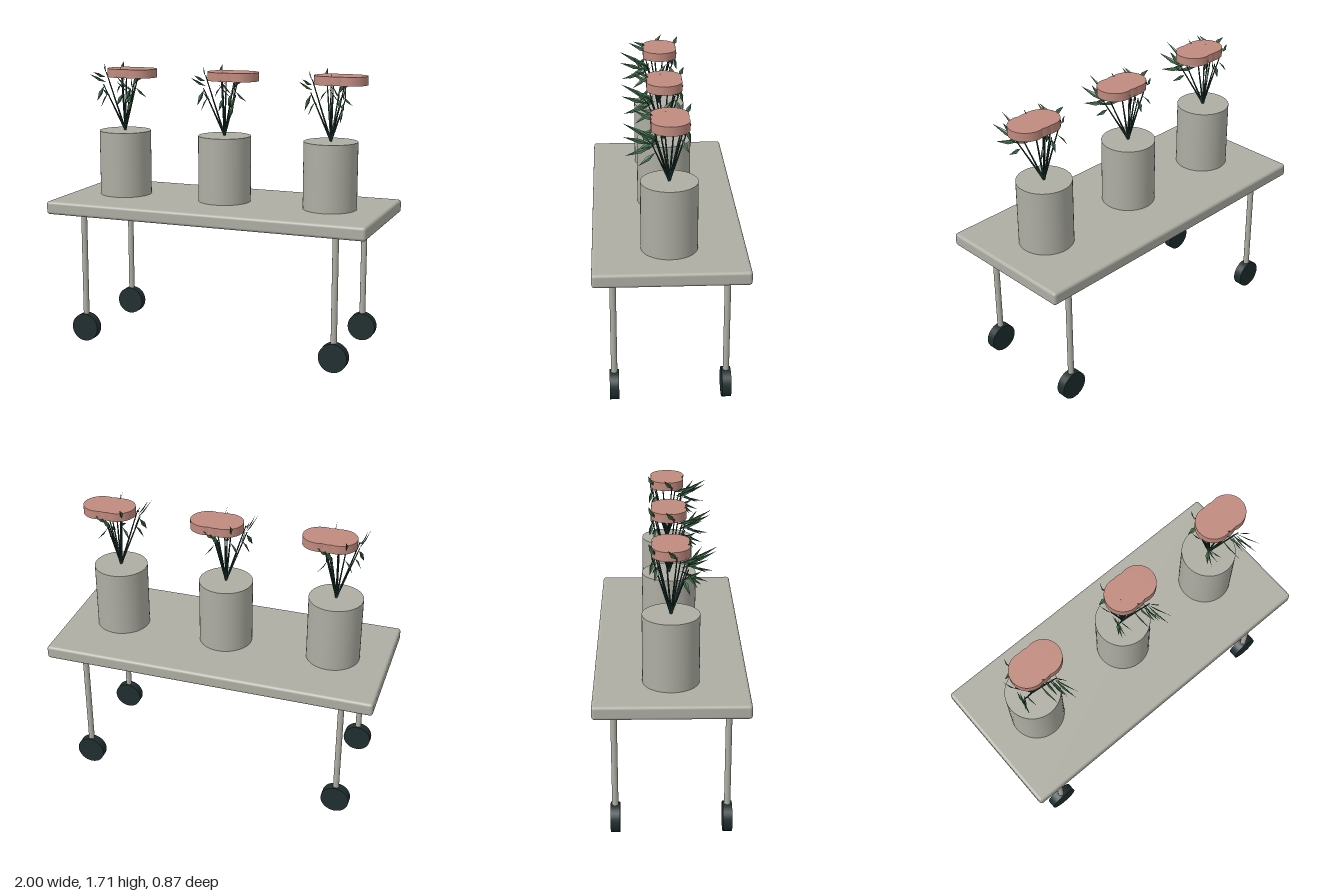
import * as THREE from 'three';
import { RoundedBoxGeometry } from 'three/addons/geometries/RoundedBoxGeometry.js';

const mat = (name, color, extra = {}) => {
  const m = new THREE.MeshStandardMaterial({ color, ...extra });
  m.name = name;
  return m;
};

// Pointed blade between two points, slightly folded along its midrib
function bladeGeometry(a, b, width, side) {
  const dir = b.clone().sub(a);
  const across = dir.clone().cross(side).normalize().multiplyScalar(width / 2);
  const fold = dir.clone().cross(across).normalize().multiplyScalar(width * 0.2);
  const mid = a.clone().lerp(b, 0.45);
  const l = mid.clone().add(across).add(fold);
  const r = mid.clone().sub(across).add(fold);
  const g = new THREE.BufferGeometry().setFromPoints([a, mid, l, l, mid, b, a, r, mid, mid, r, b]);
  g.computeVertexNormals();
  return g;
}

export function createModel() {
  const stone = mat('warm grey', 0xaeaea4);
  const rubber = mat('dark rubber', 0x1f2e2f);
  const stemGreen = mat('dark stem green', 0x1d3a33);
  const leafGreen = mat('leaf green', 0x3f6e4c, { side: THREE.DoubleSide });
  const pink = mat('dusty pink', 0xc08a7e);

  const model = new THREE.Group();
  const add = (parent, name, geo, material, x = 0, y = 0, z = 0) => {
    const mesh = new THREE.Mesh(geo, material);
    mesh.name = name;
    mesh.position.set(x, y, z);
    parent.add(mesh);
    return mesh;
  };

  // Table top
  add(model, 'tableTop', new RoundedBoxGeometry(2, 0.08, 0.865, 4, 0.018), stone, 0, 0.85, 0);

  // Legs on disc wheels
  const legGeo = new THREE.CylinderGeometry(0.018, 0.018, 0.72, 20);
  const wheelGeo = new THREE.CylinderGeometry(0.086, 0.086, 0.053, 32).rotateX(Math.PI / 2);
  for (const x of [-0.8, 0.8]) for (const z of [-0.32, 0.32]) {
    add(model, 'leg', legGeo, stone, x, 0.46, z);
    add(model, 'wheel', wheelGeo, rubber, x, 0.087, z);
  }

  // Plant layout, measured from the centre of the pot's rim
  const stemTips = [
    [-0.11, 0.36, 0.03], [-0.1, 0.29, 0.09], [-0.06, 0.38, -0.09], [0, 0.37, -0.03],
    [0.01, 0.35, 0.06], [0.08, 0.27, 0.08], [0.11, 0.26, 0.1], [0.06, 0.35, -0.08], [0.02, 0.31, -0.1],
  ];
  // Each leaf: base then tip
  const leaves = [
    [-0.11, 0.35, 0.03, -0.145, 0.41, -0.02], [-0.11, 0.33, 0.04, -0.13, 0.37, 0.16],
    [-0.1, 0.3, 0.05, -0.14, 0.36, 0.19], [-0.08, 0.24, 0.06, -0.115, 0.15, 0.1],
    [-0.1, 0.28, 0.08, -0.12, 0.19, 0.14], [-0.07, 0.22, 0.06, -0.07, 0.27, 0.16],
    [-0.07, 0.34, -0.06, -0.1, 0.39, 0.02], [-0.06, 0.36, -0.09, -0.06, 0.42, -0.12],
    [-0.05, 0.29, -0.07, -0.1, 0.22, -0.09], [0, 0.3, -0.02, -0.03, 0.39, 0.02],
    [0.01, 0.3, 0.05, 0.03, 0.41, 0.11], [0.02, 0.24, 0.05, 0.04, 0.17, 0.2],
    [0.06, 0.24, 0.06, 0.04, 0.33, 0.2], [0.07, 0.26, 0.07, 0.07, 0.36, 0.25],
    [0.08, 0.27, 0.08, 0.1, 0.2, 0.2], [0.1, 0.25, 0.09, 0.14, 0.31, 0.25],
    [0.1, 0.24, 0.09, 0.13, 0.2, 0.24], [0.09, 0.2, 0.08, 0.1, 0.13, 0.17],
    [0.11, 0.26, 0.1, 0.13, 0.34, 0.17], [0.05, 0.3, -0.07, 0.1, 0.36, -0.11],
    [0.05, 0.26, -0.06, 0.1, 0.2, -0.1], [0.02, 0.3, -0.1, 0.01, 0.22, -0.115],
    [0.02, 0.27, -0.08, 0.06, 0.35, -0.11],
  ];
  // Overlapping round lobes of the flower head
  const lobes = [0, 0.045, 0.108];

  const up = new THREE.Vector3(0, 1, 0);
  const potGeo = new THREE.CylinderGeometry(0.16, 0.16, 0.4, 48);
  const lobeGeo = new THREE.CylinderGeometry(0.104, 0.104, 0.052, 40);
  const stemGeos = stemTips.map((t) => {
    const tip = new THREE.Vector3(...t);
    const g = new THREE.CylinderGeometry(0.003, 0.006, tip.length(), 6);
    g.translate(0, tip.length() / 2, 0);
    return g.applyQuaternion(new THREE.Quaternion().setFromUnitVectors(up, tip.normalize()));
  });
  const leafGeos = leaves.map((p, i) => bladeGeometry(
    new THREE.Vector3(p[0], p[1], p[2]), new THREE.Vector3(p[3], p[4], p[5]),
    0.026, new THREE.Vector3(i % 2 ? 1 : 0.7, 0.5, i % 3 ? 0.2 : -0.4)));

  for (const x of [-0.668, 0, 0.668]) {
    const planter = new THREE.Group();
    planter.name = 'pottedFlower';
    planter.position.set(x, 1.29, 0);
    add(planter, 'pot', potGeo, stone, 0, -0.2, 0);
    stemGeos.forEach((g) => add(planter, 'stem', g, stemGreen));
    leafGeos.forEach((g) => add(planter, 'leaf', g, leafGreen));
    lobes.forEach((lx) => add(planter, 'flowerHead', lobeGeo, pink, lx, 0.36, 0));
    model.add(planter);
  }
  return model;
}
